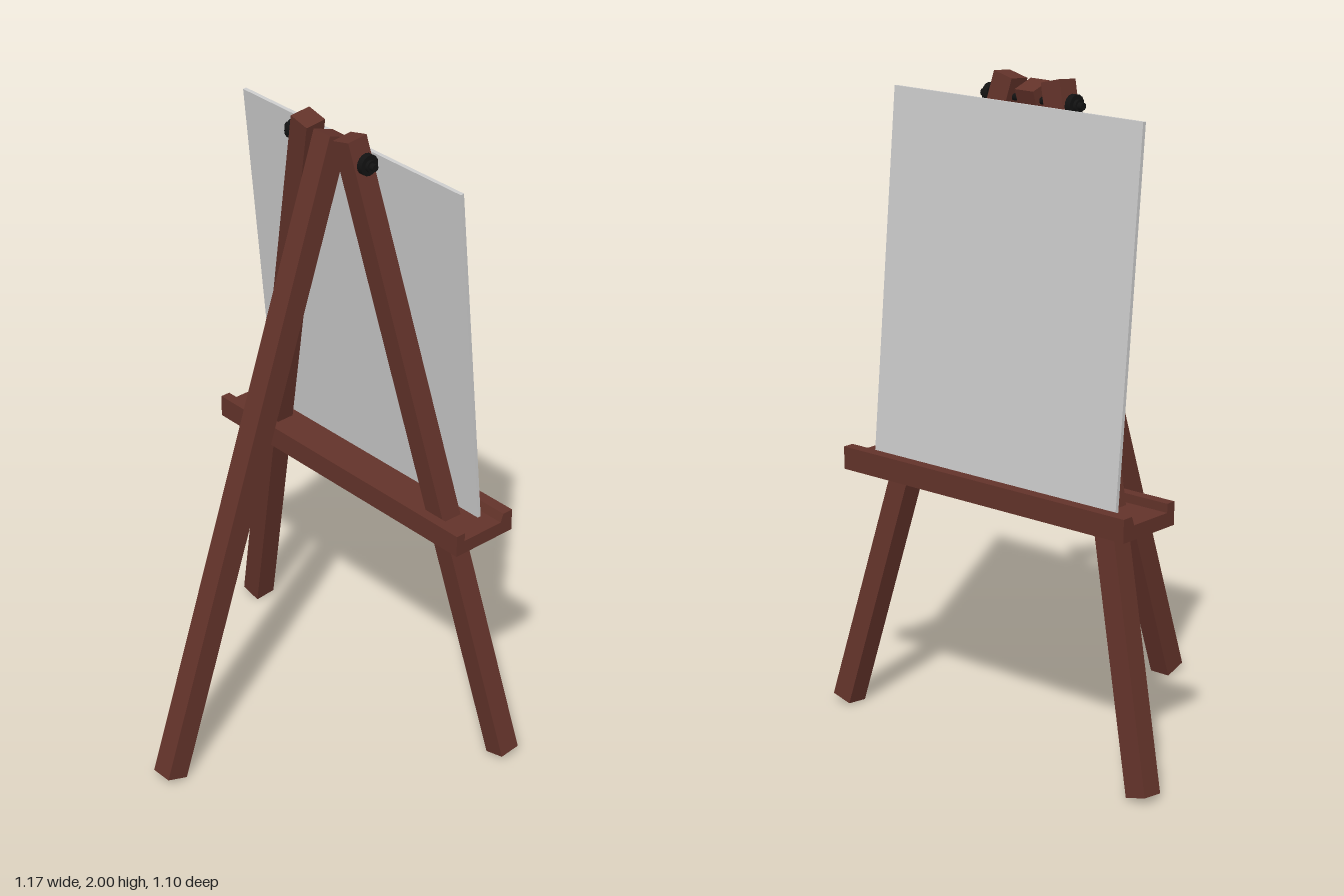
import * as THREE from 'three';

const wood = new THREE.MeshStandardMaterial({ color: 0x63332a });
const metal = new THREE.MeshStandardMaterial({ color: 0x121212 });
const panel = new THREE.MeshStandardMaterial({ color: 0xcccccc });
const UP = new THREE.Vector3(0, 1, 0);

// Mesh whose own y axis runs from a to b
function between(name, a, b, makeGeometry, material) {
  const from = new THREE.Vector3(...a);
  const to = new THREE.Vector3(...b);
  const dir = to.clone().sub(from);
  const mesh = new THREE.Mesh(makeGeometry(dir.length()), material);
  mesh.name = name;
  mesh.position.copy(from).add(to).multiplyScalar(0.5);
  mesh.quaternion.setFromUnitVectors(UP, dir.normalize());
  return mesh;
}

const beam = (w, d) => (length) => new THREE.BoxGeometry(w, length, d);
const rod = (r, sides) => (length) => new THREE.CylinderGeometry(r, r, length, sides);

export function createModel() {
  const easel = new THREE.Group();
  easel.name = 'easel';

  // Splayed legs on the board side, leaning with the board
  for (const [side, s] of [['left', 1], ['right', -1]]) {
    easel.add(between(side + 'Leg', [s * 0.585, 0.012, -0.263], [s * 0.089, 1.987, -0.064], beam(0.07, 0.07), wood));
  }

  // Single prop leg
  easel.add(between('propLeg', [0, 0.012, 0.586], [0, 1.967, -0.074], beam(0.07, 0.075), wood));

  // Tray with a raised lip on both long edges, profile drawn as (z, y)
  const profile = new THREE.Shape([
    [-0.321, 0.775], [-0.095, 0.775], [-0.095, 0.845], [-0.127, 0.845],
    [-0.127, 0.818], [-0.275, 0.818], [-0.285, 0.845], [-0.321, 0.845],
  ].map(([z, y]) => new THREE.Vector2(-z, y)));
  const trayLength = 1.083;
  const trayGeometry = new THREE.ExtrudeGeometry(profile, { depth: trayLength, bevelEnabled: false });
  trayGeometry.translate(0, 0, -trayLength / 2).rotateY(Math.PI / 2);
  const tray = new THREE.Mesh(trayGeometry, wood);
  tray.name = 'tray';
  tray.position.x = -0.01;
  easel.add(tray);

  // Board resting in the tray
  easel.add(between('board', [0, 0.816, -0.249], [0, 1.924, -0.144], beam(0.934, 0.012), panel));

  // Hinge bolt through the three legs, with a winged nut at each end
  const boltY = 1.925, boltZ = -0.072;
  easel.add(between('hingeBolt', [-0.19, boltY, boltZ], [0.19, boltY, boltZ], rod(0.011, 12), metal));
  for (const s of [-1, 1]) {
    const nut = new THREE.Group();
    nut.name = s > 0 ? 'leftNut' : 'rightNut';
    nut.add(between('nutHub', [s * 0.135, boltY, boltZ], [s * 0.175, boltY, boltZ], rod(0.018, 12), metal));
    nut.add(between('nutDisc', [s * 0.147, boltY, boltZ], [s * 0.166, boltY, boltZ], rod(0.032, 16), metal));
    easel.add(nut);
  }

  // The whole easel stands turned on its spot
  easel.rotation.y = THREE.MathUtils.degToRad(-22);
  easel.position.set(-0.097, 0, -0.039);

  const model = new THREE.Group();
  model.name = 'model';
  model.add(easel);
  return model;
}
